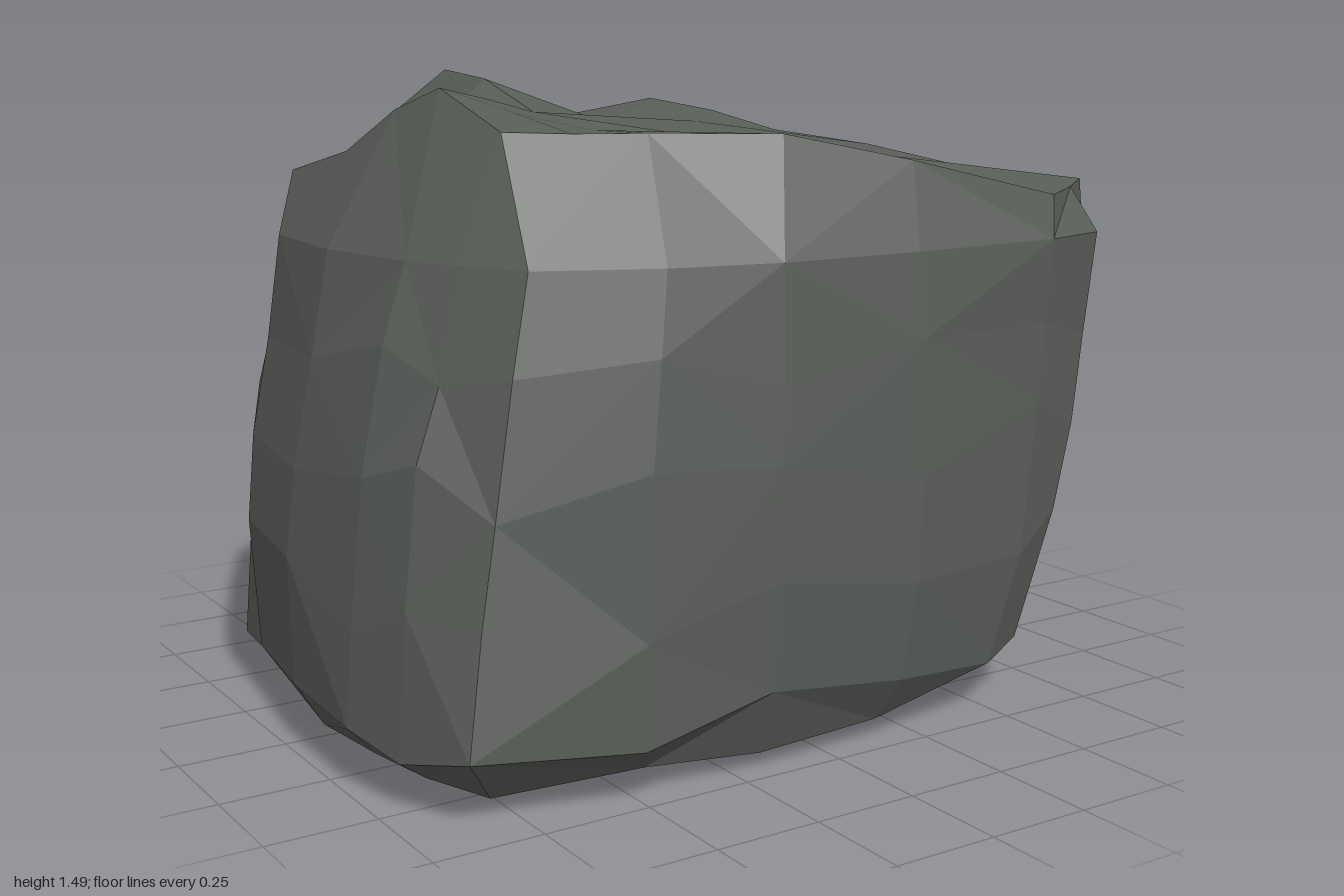
import * as THREE from 'three';

// Widest plan outline [x, z], running left -> front -> right -> back
const OUTLINE = [
  [-1, .02], [-.99, .33], [-.95, .5], [-.86, .67], [-.52, .77],
  [-.2, .79], [.2, .79], [.62, .73], [.82, .67], [.95, .49],
  [1, .12], [1, -.15], [.98, -.38], [.93, -.55], [.71, -.745],
  [.25, -.8], [-.38, -.8], [-.78, -.68], [-.88, -.53], [-.97, -.33],
];

// Upper rim [x, y, z], one point above each outline point
const RIM = [
  [-.7, 1.42, .02], [-.66, 1.47, .16], [-.64, 1.385, .4], [-.5, 1.38, .45], [-.35, 1.38, .51],
  [-.07, 1.375, .61], [.25, 1.31, .66], [.63, 1.22, .71], [.78, 1.225, .61], [.93, 1.23, .49],
  [.86, 1.24, .15], [.75, 1.29, -.12], [.63, 1.32, -.38], [.53, 1.37, -.54], [.43, 1.4, -.7],
  [.1, 1.36, -.64], [-.27, 1.49, -.59], [-.5, 1.28, -.71], [-.7, 1.25, -.58], [-.74, 1.32, -.16],
];

// Uneven crown inside the rim, one point for every second rim point
const CROWN = [
  [-.5, 1.44, .08], [-.48, 1.41, .18], [-.34, 1.375, .27], [-.03, 1.345, .36], [.44, 1.28, .35],
  [.2, 1.33, .14], [.25, 1.36, -.2], [-.05, 1.36, -.12], [-.32, 1.475, -.28], [-.46, 1.38, -.22],
];

// How far each column is chipped inward near the top and near the foot
const TUCK_TOP = [0, .05, .08, .08, .05, .01, .01, -.03, -.03, -.03, .02, .09, .13, .13, .08, 0, 0, .03, .03, 0];
const TUCK_FOOT = [.02, 0, 0, -.03, .02, .03, .04, .07, .09, .06, 0, 0, -.02, -.04, .04, .05, .04, 0, -.01, .04];

// Side levels: y, left x, right x, front z, back z, height wobble, top tuck, foot tuck, rounding of the plan
const LEVELS = [
  [.012, .28, .22, .2, .2, 0, 0, 0, 1],
  [.004, .55, .45, .38, .42, 0, 0, 0, 1],
  [0, .82, .67, .52, .6, 0, 0, 1, .8],
  [.045, .93, .76, .73, .71, .012, 0, 1, .15],
  [.13, 1, .87, .8, .775, .025, 0, 1, 0],
  [.4, .995, .945, .805, .795, .05, 0, .3, .15],
  [.68, .965, .985, .8, .8, .06, 0, 0, .22],
  [.91, .915, 1, .79, .8, .04, .3, 0, .18],
  [1.12, .87, .965, .775, .785, 0, 1, 0, 0],
];

export function createModel() {
  const group = new THREE.Group();
  const stone = new THREE.MeshStandardMaterial({ color: 0x5a5e59, flatShading: true });
  stone.name = 'dark grey stone';
  const n = OUTLINE.length;

  // Fit the outline to each level's extents, with chipped corners and heights
  const rings = LEVELS.map(([y, left, right, front, back, wobble, top, foot, round], i) =>
    OUTLINE.map(([x, z], j) => {
      const corner = 1 + round * (Math.hypot(x, z / .8) - 1);
      const s = (1 - top * TUCK_TOP[j] - foot * TUCK_FOOT[j]) / corner;
      return [
        x * s * (x < 0 ? left : right),
        y + wobble * Math.sin(j * 2.3 + i * 1.7) + (i === 4 && j === 5 ? .08 : 0),
        z * s * (z < 0 ? back : front) / .8,
      ];
    }));
  rings.push(RIM);

  const positions = [];
  const tri = (a, b, c) => positions.push(...a, ...b, ...c);

  // Underside and flanks; the diagonals alternate for irregular facets
  for (let i = 0; i < rings.length - 1; i++) {
    for (let j = 0; j < n; j++) {
      const k = (j + 1) % n;
      const a = rings[i][j], b = rings[i][k], c = rings[i + 1][k], d = rings[i + 1][j];
      if ((i + j) % 2) { tri(a, b, c); tri(a, c, d); }
      else { tri(a, b, d); tri(b, c, d); }
    }
  }
  const base = [-.02, .02, 0];
  for (let j = 0; j < n; j++) tri(base, rings[0][(j + 1) % n], rings[0][j]);

  // Crown, stitched to the rim and closed at the saddle between the peaks
  const saddle = [-.34, 1.405, 0];
  CROWN.forEach((p, k) => {
    const q = CROWN[(k + 1) % CROWN.length];
    const r0 = RIM[2 * k], r1 = RIM[2 * k + 1], r2 = RIM[(2 * k + 2) % n];
    tri(r0, r1, p);
    tri(r1, q, p);
    tri(r1, r2, q);
    tri(p, q, saddle);
  });

  const geometry = new THREE.BufferGeometry();
  geometry.setAttribute('position', new THREE.Float32BufferAttribute(positions, 3));
  geometry.computeVertexNormals();

  const boulder = new THREE.Mesh(geometry, stone);
  boulder.name = 'boulder';
  group.add(boulder);
  return group;
}
